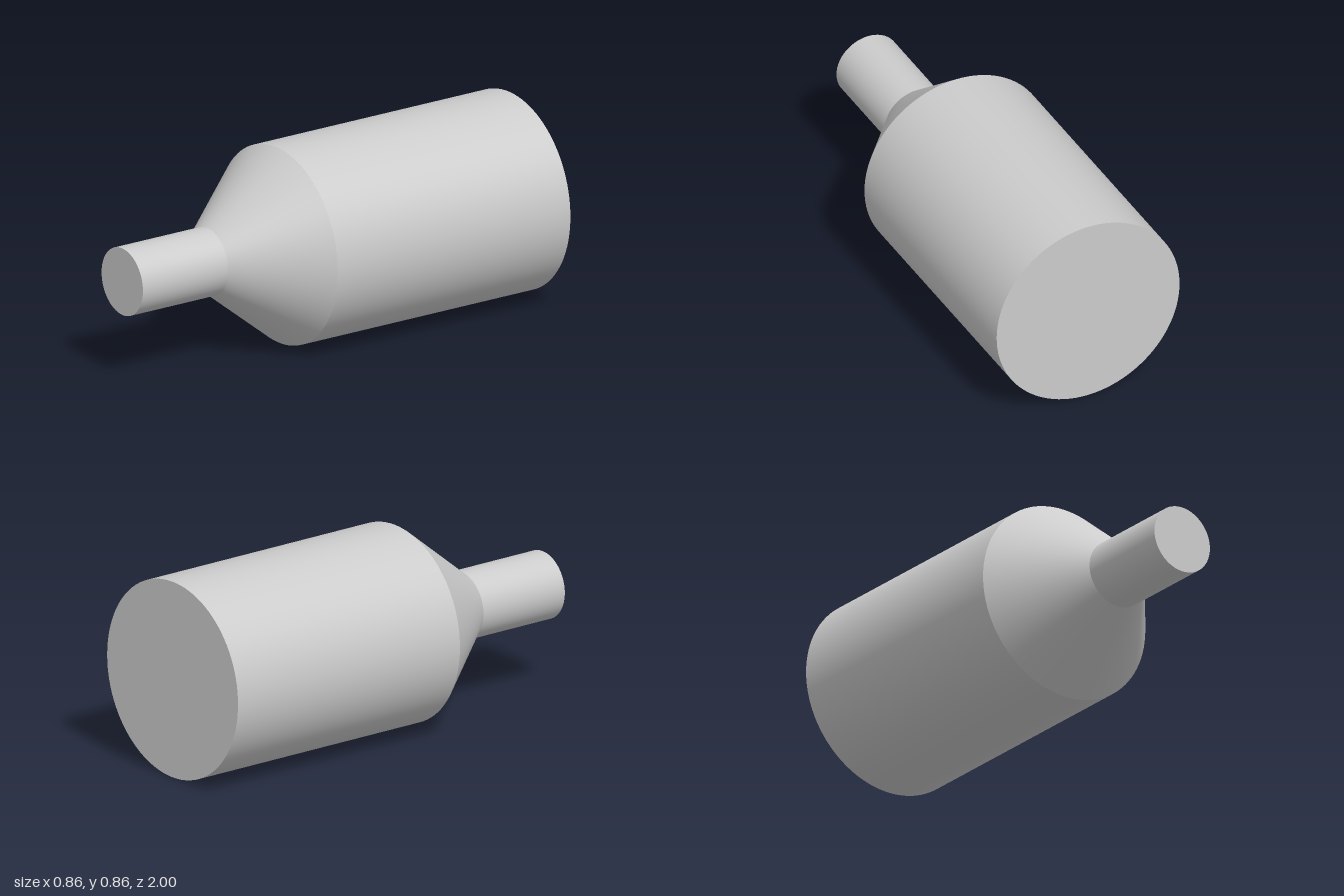
import * as THREE from 'three';

const SEGMENTS = 96;
const BODY_R = 0.43, NECK_R = 0.147;
const BACK = -1, SHOULDER = 0.2, NECK = 0.56, FRONT = 1;

export function createModel() {
  const model = new THREE.Group();
  model.name = 'reducer';
  const material = new THREE.MeshStandardMaterial({ color: 0xcccccc });

  function add(name, geometry, z) {
    const mesh = new THREE.Mesh(geometry, material);
    mesh.name = name;
    mesh.position.set(0, BODY_R, z);
    model.add(mesh);
  }

  // Round wall along z, from the back end to the front end
  function wall(name, backR, frontR, z0, z1) {
    const geometry = new THREE.CylinderGeometry(frontR, backR, z1 - z0, SEGMENTS, 1, true);
    add(name, geometry.rotateX(Math.PI / 2), (z0 + z1) / 2);
  }

  // Walls: wide body, tapered shoulder, narrow neck
  wall('body', BODY_R, BODY_R, BACK, SHOULDER);
  wall('shoulder', BODY_R, NECK_R, SHOULDER, NECK);
  wall('neck', NECK_R, NECK_R, NECK, FRONT);

  // Flat ends
  add('backEnd', new THREE.CircleGeometry(BODY_R, SEGMENTS).rotateY(Math.PI), BACK);
  add('frontEnd', new THREE.CircleGeometry(NECK_R, SEGMENTS), FRONT);

  return model;
}
